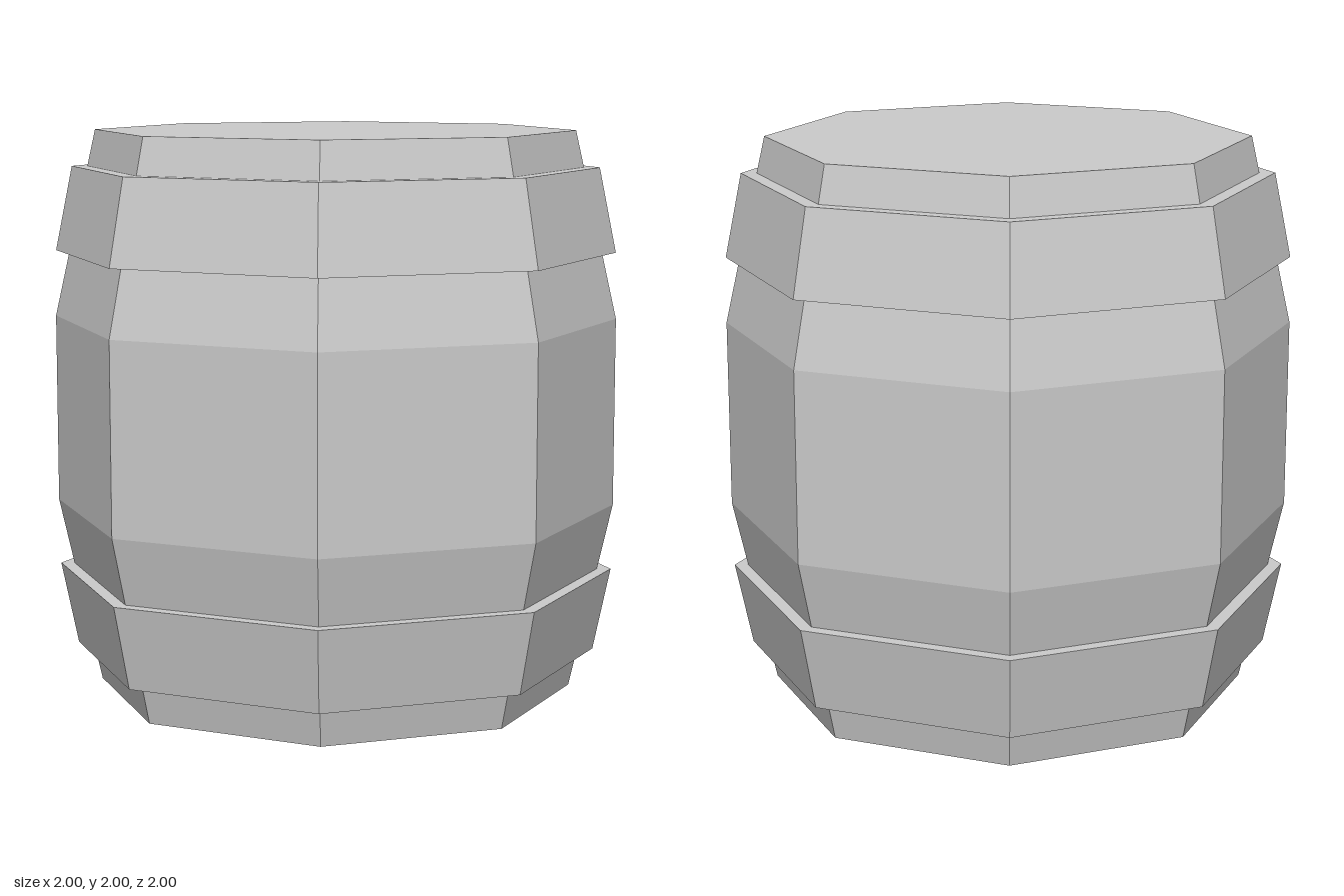
import * as THREE from 'three';

const SIDES = 8;
const material = new THREE.MeshStandardMaterial({ color: 0xcccccc, flatShading: true });

// Eight-sided solid turned from [radius, height] points listed bottom to top
function turned(name, points) {
  const profile = points.map(([r, y]) => new THREE.Vector2(r, y));
  const mesh = new THREE.Mesh(new THREE.LatheGeometry(profile, SIDES), material);
  mesh.name = name;
  return mesh;
}

// Closed band; its inner wall sits just inside the staves
function hoop(name, y0, r0, y1, r1) {
  const wall = 0.07;
  return turned(name, [
    [r0 - wall, y0], [r0, y0], [r1, y1], [r1 - wall, y1], [r0 - wall, y0],
  ]);
}

export function createModel() {
  const barrel = new THREE.Group();
  barrel.name = 'barrel';

  // Bulging body with flat lids
  barrel.add(turned('body', [
    [0, 0], [0.85, 0], [1, 0.665], [1, 1.335], [0.85, 2], [0, 2],
  ]));

  // Matching hoops, mirrored about mid height
  barrel.add(hoop('lowerHoop', 0.135, 0.935, 0.43, 0.996));
  barrel.add(hoop('upperHoop', 1.57, 0.996, 1.87, 0.935));

  return barrel;
}
